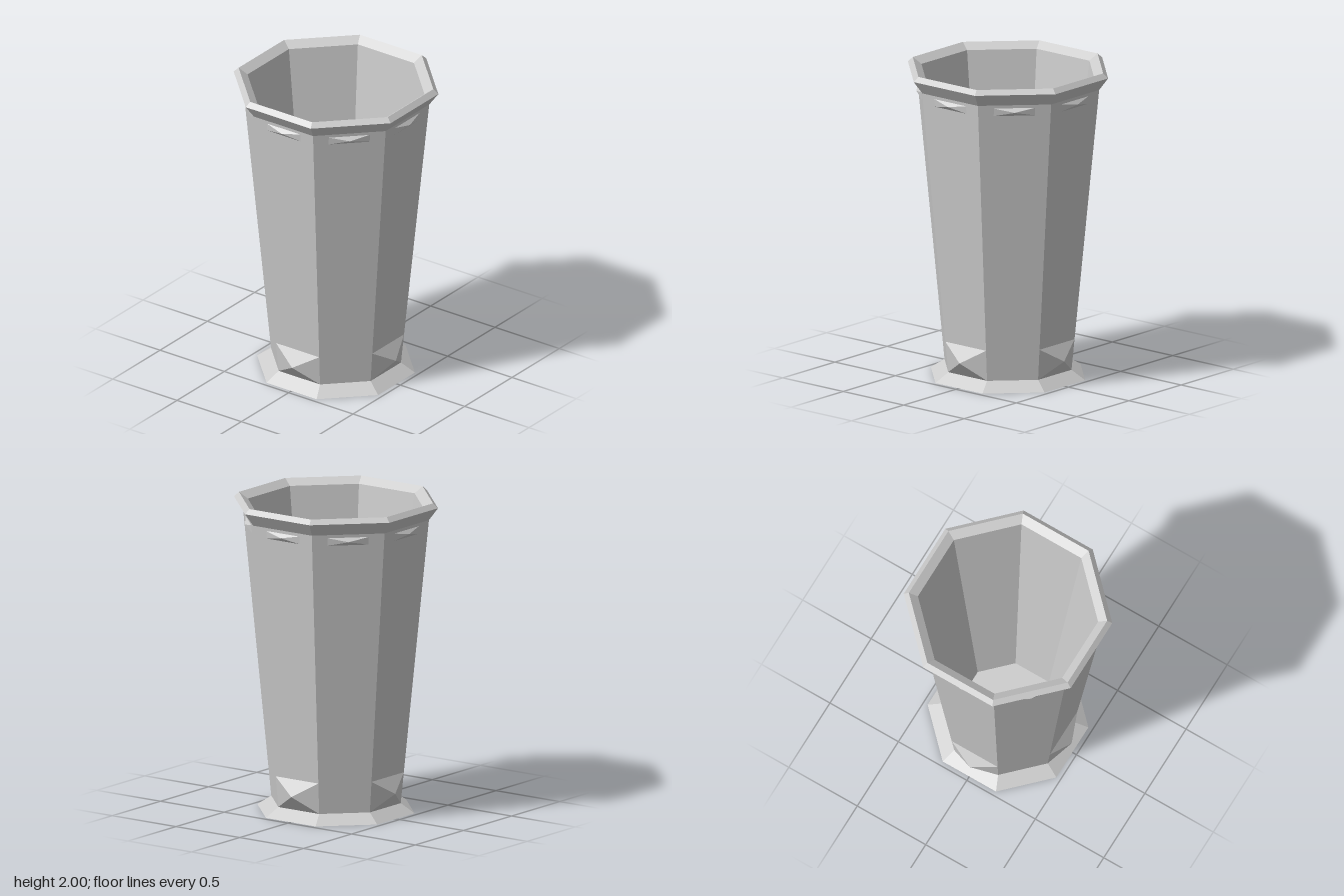
import * as THREE from 'three';

const SIDES = 8;
const material = new THREE.MeshStandardMaterial({ color: 0xcccccc, flatShading: true });

// Distance from the axis to the middle of an outer wall panel at height y
const wall = (y) => 0.387 + (y - 0.06) * 0.092;

// Four-sided stud lying on the front wall panel, with its tip pushed outwards
function studGeometry(y0, y1, halfBottom, halfTop, tipOut) {
  const corners = [
    [-halfBottom, y0, wall(y0)], [halfBottom, y0, wall(y0)],
    [halfTop, y1, wall(y1)], [-halfTop, y1, wall(y1)],
  ];
  const tip = [0, (y0 + y1) / 2, tipOut];
  const positions = corners.flatMap((c, i) => [...c, ...corners[(i + 1) % 4], ...tip]);
  const geometry = new THREE.BufferGeometry();
  geometry.setAttribute('position', new THREE.Float32BufferAttribute(positions, 3));
  geometry.computeVertexNormals();
  return geometry;
}

// Repeats a part evenly around the vertical axis
function ring(name, geometry, count) {
  const group = new THREE.Group();
  group.name = name;
  for (let i = 0; i < count; i++) {
    const mesh = new THREE.Mesh(geometry, material);
    mesh.name = `${name}${i + 1}`;
    mesh.rotation.y = (i / count) * Math.PI * 2;
    group.add(mesh);
  }
  return group;
}

export function createModel() {
  const model = new THREE.Group();
  model.name = 'octagonalVase';

  // Vessel: flared foot, tapered wall, bevelled rim, hollow inside and floor
  const profile = [
    [0, 0], [0.47, 0], [wall(0.06), 0.06], [wall(1.89), 1.89],
    [0.61, 1.97], [0.58, 2], [0.527, 1.96], [0.295, 0.1], [0, 0.1],
  ].map(([r, y]) => new THREE.Vector2(r / Math.cos(Math.PI / SIDES), y));
  const vessel = new THREE.Mesh(new THREE.LatheGeometry(profile, SIDES, Math.PI / SIDES), material);
  vessel.name = 'vessel';
  model.add(vessel);

  // Large studs above the foot on every other panel, small ones under the rim on all
  const t = Math.tan(Math.PI / SIDES);
  model.add(ring('footStud', studGeometry(0.06, 0.26, wall(0.06) * t, wall(0.26) * t, 0.465), 4));
  model.add(ring('rimStud', studGeometry(1.82, 1.87, 0.13, 0.13, 0.575), SIDES));
  return model;
}
